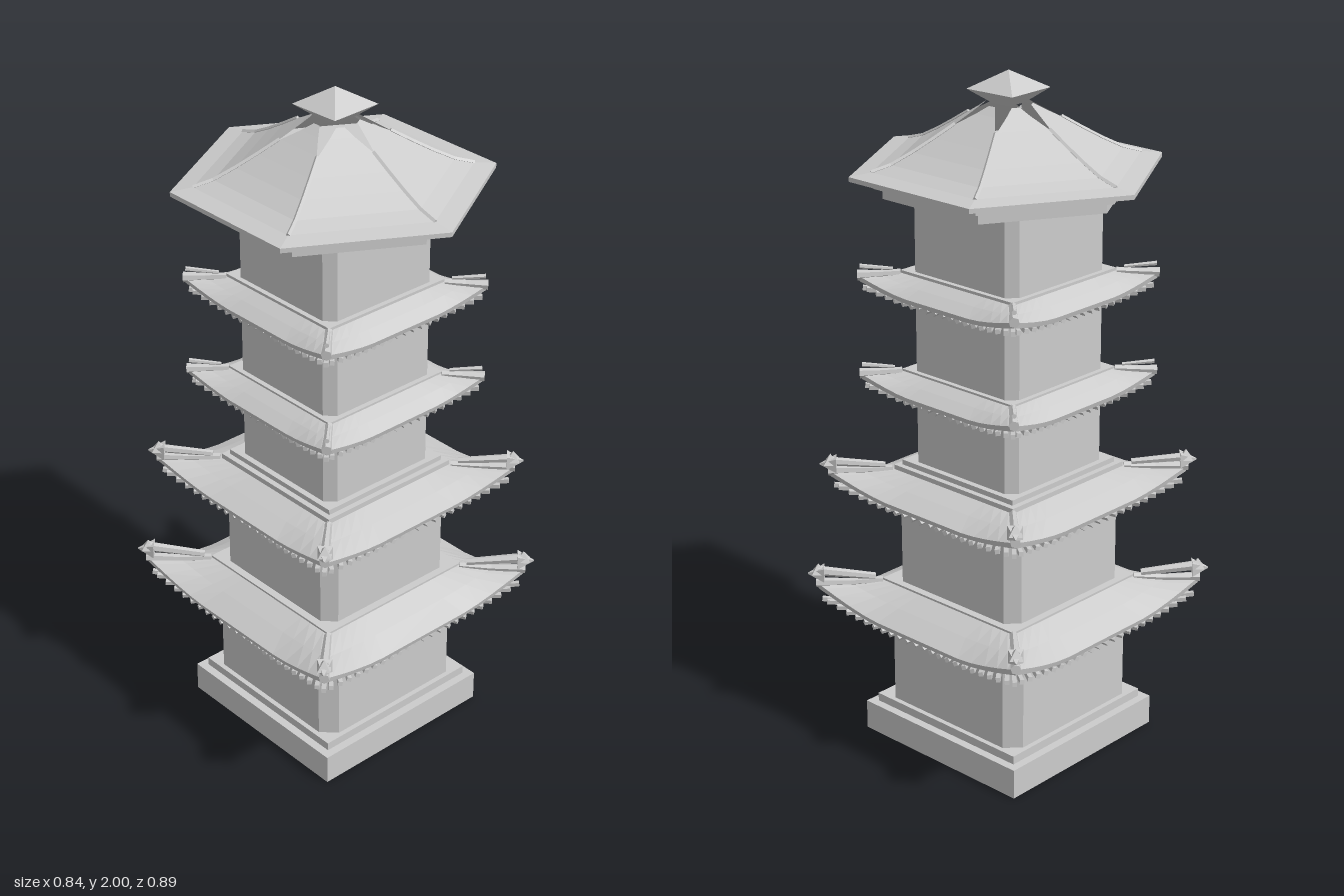
import * as THREE from 'three';
import { mergeGeometries } from 'three/addons/utils/BufferGeometryUtils.js';

const mat = new THREE.MeshStandardMaterial({ color: 0xcccccc, flatShading: true, side: THREE.DoubleSide });
const V = (x, y, z) => new THREE.Vector3(x, y, z);

function add(group, name, geo, y = 0) {
  const mesh = new THREE.Mesh(geo, mat);
  mesh.name = name;
  mesh.position.y = y;
  group.add(mesh);
  return mesh;
}

// Skin over rows of points
function loft(rows) {
  const pos = [], idx = [], n = rows[0].length;
  rows.forEach(r => r.forEach(p => pos.push(p.x, p.y, p.z)));
  for (let i = 0; i < rows.length - 1; i++) {
    for (let j = 0; j < n - 1; j++) {
      const a = i * n + j, b = a + n;
      idx.push(a, b, a + 1, a + 1, b, b + 1);
    }
  }
  const g = new THREE.BufferGeometry();
  g.setAttribute('position', new THREE.Float32BufferAttribute(pos, 3));
  g.setIndex(idx);
  g.computeVertexNormals();
  return g;
}

// Copies of a geometry turned about the vertical axis
const around = (geo, n) => mergeGeometries(
  Array.from({ length: n }, (_, i) => geo.clone().rotateY(i * Math.PI * 2 / n)));

// Straight bar between two points
function bar(a, b, r0, r1, sides = 4) {
  const d = b.clone().sub(a), len = d.length();
  const g = new THREE.CylinderGeometry(r1, r0, len, sides);
  g.applyQuaternion(new THREE.Quaternion().setFromUnitVectors(V(0, 1, 0), d.normalize()));
  const m = a.clone().add(b).multiplyScalar(0.5);
  return g.translate(m.x, m.y, m.z);
}

// Vertical prism from a plan outline, with optional hole
function prism(points, height, hole) {
  const s = new THREE.Shape(points.map(p => new THREE.Vector2(...p)));
  if (hole) s.holes.push(new THREE.Path(hole.map(p => new THREE.Vector2(...p))));
  return new THREE.ExtrudeGeometry(s, { depth: height, bevelEnabled: false }).rotateX(-Math.PI / 2);
}
const square = h => [[h, -h], [h, h], [-h, h], [-h, -h]];
const chamfered = (h, c) => [[h, c - h], [h, h - c], [h - c, h], [c - h, h],
  [-h, h - c], [-h, c - h], [c - h, -h], [h - c, -h]];
const hexagon = r => Array.from({ length: 6 }, (_, i) => {
  const a = Math.PI / 2 + i * Math.PI / 3;
  return [r * Math.cos(a), r * Math.sin(a)];
});

// One tier of upswept eaves
function makeEaves(t) {
  const group = new THREE.Group();
  group.name = 'eaves';
  const us = [-1, -0.92, -0.82, -0.7, -0.56, -0.42, 0.42, 0.56, 0.7, 0.82, 0.92, 1];
  const flare = u => Math.pow(Math.max(0, (Math.abs(u) - 0.42) / 0.58), 1.6);
  const row = (h, y, out, up) => us.map(u => {
    const f = flare(u), r = h + out * f;
    return V(u * r, y + up * f, r);
  });
  const out = t.hc - t.ho, up = t.yc - t.ye, mid = (t.hi + t.ho) / 2;
  const side = loft([
    row(t.hi, t.yt, 0, 0),
    row(mid, (t.yt + t.ye) / 2 + 0.002, out * 0.4, up * 0.35),
    row(t.ho, t.ye, out, up),
    row(t.ho - 0.004, t.ye - 0.014, out, up * 0.9),
    row(mid, t.yb + 0.012, out * 0.4, up * 0.2),
    row(t.body - 0.01, t.yb, 0, 0),
  ]);
  add(group, 'eaveRoof', around(side, 4));

  // Fanned rafters under the eaves
  const rafters = [], n = t.rafters;
  for (let i = 0; i < n; i++) {
    const u = -0.97 + 1.94 * i / (n - 1), f = flare(u);
    const r = t.ho - 0.008 + out * f, u2 = Math.min(0.99, u + 0.035);
    rafters.push(bar(V(u * t.body, t.yb + 0.004, t.body - 0.01),
      V(u2 * r, t.yb + 0.002 + up * 0.55 * f, r), 0.007, 0.009));
  }
  add(group, 'rafters', around(mergeGeometries(rafters), 4));

  // Hip ridges along the corners
  const ridge = mergeGeometries([
    bar(V(t.hi, t.yt, t.hi), V(mid + out * 0.4, (t.yt + t.ye) / 2 + up * 0.35 + 0.005, mid + out * 0.4), 0.011, 0.011, 6),
    bar(V(mid + out * 0.4, (t.yt + t.ye) / 2 + up * 0.35 + 0.005, mid + out * 0.4), V(t.hc, t.yc, t.hc), 0.011, 0.015, 6),
  ]);
  add(group, 'hipRidges', around(ridge, 4));

  // Corner horns, with pointed caps on the lower tiers
  const h0 = t.hi + 0.015, h1 = t.hc - 0.005;
  const horn = [bar(V(h0, t.yt + 0.012, h0), V(h1, t.horn, h1), t.hornR * 0.7, t.hornR, 6)];
  if (t.cap) {
    horn.push(bar(V(h1 - 0.012, t.horn - 0.008, h1 - 0.012), V(h1 + 0.022, t.horn - 0.008, h1 + 0.022), 0.03, 0.002));
    horn.push(new THREE.ConeGeometry(0.026, 0.03, 4).translate(h1, t.horn + 0.008, h1));
  }
  add(group, 'cornerHorns', around(mergeGeometries(horn), 4));
  return group;
}

export function createModel() {
  const model = new THREE.Group();
  model.name = 'pagoda';

  // Hollow base and plinth step
  add(model, 'base', prism(square(0.3), 0.09, square(0.25)));
  add(model, 'plinth', prism(square(0.275), 0.027), 0.088);

  // Storeys with chamfered corners: half width, chamfer, bottom, top
  [[0.26, 0.042, 0.11, 0.42], [0.237, 0.036, 0.47, 0.79], [0.197, 0.028, 0.84, 1.1],
    [0.197, 0.028, 1.12, 1.39], [0.197, 0.028, 1.41, 1.725]].forEach(([h, c, y0, y1]) =>
    add(model, 'storey', prism(chamfered(h, c), y1 - y0), y0));

  // Sills above each eave: half width, bottom, height
  [[0.26, 0.47, 0.026], [0.232, 0.83, 0.025], [0.215, 0.855, 0.015],
    [0.212, 1.12, 0.028], [0.212, 1.405, 0.035]].forEach(([h, y, d]) =>
    add(model, 'sill', prism(square(h), d), y));

  // Four tiers of eaves
  [
    { body: 0.26, yb: 0.4, ye: 0.428, yt: 0.49, yc: 0.485, hi: 0.26, ho: 0.382, hc: 0.398, horn: 0.522, hornR: 0.015, rafters: 23, cap: true },
    { body: 0.237, yb: 0.77, ye: 0.797, yt: 0.843, yc: 0.84, hi: 0.235, ho: 0.35, hc: 0.366, horn: 0.868, hornR: 0.013, rafters: 21, cap: true },
    { body: 0.197, yb: 1.08, ye: 1.102, yt: 1.142, yc: 1.136, hi: 0.212, ho: 0.285, hc: 0.297, horn: 1.162, hornR: 0.007, rafters: 19 },
    { body: 0.197, yb: 1.37, ye: 1.392, yt: 1.432, yc: 1.426, hi: 0.212, ho: 0.285, hc: 0.297, horn: 1.452, hornR: 0.007, rafters: 19 },
  ].forEach(t => model.add(makeEaves(t)));

  // Hexagonal bracket ring and soffit
  add(model, 'bracketRing', prism(hexagon(0.355), 0.03, hexagon(0.31)), 1.67);
  add(model, 'soffit', prism(hexagon(0.38), 0.02), 1.7);
  add(model, 'eavePlate', prism(hexagon(0.447), 0.013), 1.725);

  // Concave hexagonal roof; panels part near the top: radius, height, width share
  const profile = [[0.447, 1.738, 1], [0.385, 1.746, 1], [0.33, 1.762, 1], [0.27, 1.792, 0.995],
    [0.21, 1.826, 0.99], [0.15, 1.862, 0.97], [0.105, 1.89, 0.66], [0.075, 1.91, 0.3]];
  const panel = loft(profile.map(([r, y, s]) =>
    [-1, 1].map(k => V(r * 0.866, y, -k * s * r * 0.5))));
  add(model, 'roofPanels', around(panel, 6));

  // Thin ridge strips on the roof hips
  const strips = profile.slice(1, 5).map(([r, y], i) => {
    const [r2, y2] = profile[i + 2];
    return bar(V(0, y, r), V(0, y2, r2), 0.006, 0.006);
  });
  add(model, 'roofRidges', around(mergeGeometries(strips), 6));

  // Faceted finial
  const finial = new THREE.LatheGeometry([[0, 1.905], [0.045, 1.91], [0.114, 1.95], [0, 2]]
    .map(p => new THREE.Vector2(...p)), 4);
  add(model, 'finial', finial.rotateY(Math.PI / 4 + 0.05));
  return model;
}
